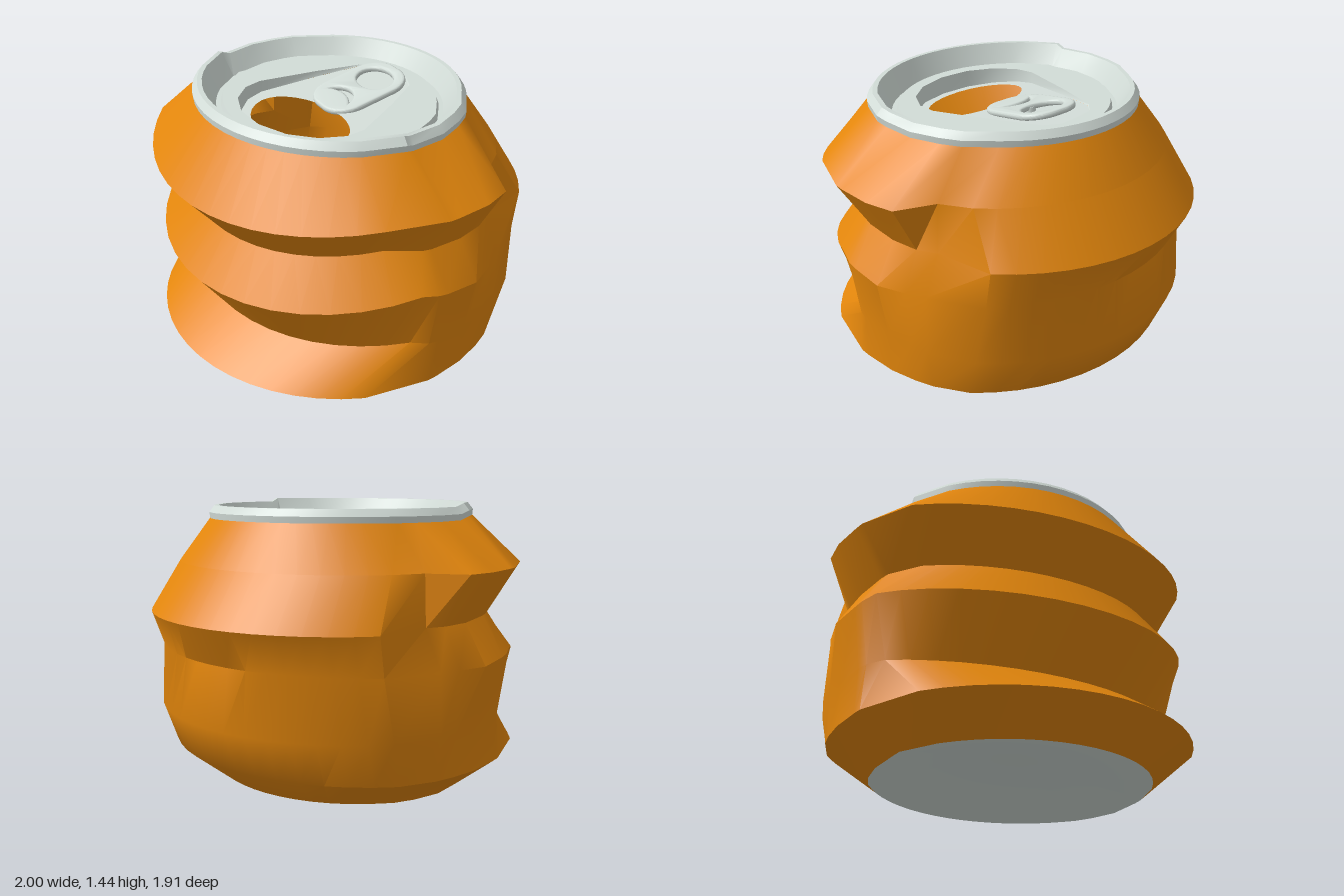
import * as THREE from 'three';
import { toCreasedNormals } from 'three/addons/utils/BufferGeometryUtils.js';

const paint = new THREE.MeshStandardMaterial({ color: 0xe3860c, side: THREE.DoubleSide });
paint.name = 'orange paint';
const metal = new THREE.MeshStandardMaterial({ color: 0xd2dcd7, side: THREE.DoubleSide });
metal.name = 'pale metal';

const V = (x, y, z) => new THREE.Vector3(x, y, z);
const ARC = 8;
const SIDE_Z = [0.23, 0.18, 0, -0.15, -0.25];

// Points of a circular arc from the centre line (0, z0) out to (x1, z1).
function arc(z0, y0, x1, y1, z1) {
  const h = Math.abs(z0 - z1), dir = Math.sign(z0 - z1);
  const R = (x1 * x1 + h * h) / (2 * h), end = Math.acos((R - h) / R);
  return Array.from({ length: ARC + 1 }, (_, i) => {
    const t = (end * i) / ARC, drop = R * (1 - Math.cos(t));
    return V(R * Math.sin(t), y0 + ((y1 - y0) * drop) / h, z0 - dir * drop);
  });
}

// One dented ring: front arc, side points, level back arc, mirrored across x.
function ring(front, sideX, [backZ, backY, cornerX, cornerZ], mix = [0.4, 0.6, 1, 1, 1]) {
  const half = [
    ...arc(...front),
    ...sideX.map((x, i) => V(x, THREE.MathUtils.lerp(front[3], backY, mix[i]), SIDE_Z[i])),
    ...arc(backZ, backY, cornerX, backY, cornerZ).reverse(),
  ];
  const mirrored = half.slice(1, -1).reverse().map((p) => V(-p.x, p.y, p.z));
  return [...half, ...mirrored];
}

// Skin between closed rings of equal length.
function loft(rings, crease = 0.55) {
  const n = rings[0].length, pos = [], index = [];
  rings.forEach((r) => r.forEach((p) => pos.push(p.x, p.y, p.z)));
  for (let i = 0; i < rings.length - 1; i++) {
    for (let j = 0; j < n; j++) {
      const k = (j + 1) % n, a = i * n, b = a + n;
      index.push(a + j, a + k, b + k, a + j, b + k, b + j);
    }
  }
  const g = new THREE.BufferGeometry();
  g.setAttribute('position', new THREE.Float32BufferAttribute(pos, 3));
  g.setIndex(index);
  return toCreasedNormals(g, crease);
}

// Plate with one hole; its height is a function of z.
function plate(outline, hole, heightAt) {
  const flat = (pts) => pts.map((p) => new THREE.Vector2(p.x, -p.z));
  const s = new THREE.Shape(flat(outline));
  s.holes.push(new THREE.Path(flat(hole)));
  const g = new THREE.ShapeGeometry(s).rotateX(-Math.PI / 2);
  const p = g.attributes.position;
  for (let i = 0; i < p.count; i++) p.setY(i, heightAt(p.getZ(i)));
  g.computeVertexNormals();
  return g;
}

// Rounded pull tab with a finger hole and a crescent slot.
function tabGeometry() {
  const w = 0.148, h = 0.225, r = 0.12, s = new THREE.Shape();
  s.absarc(w - r, h - r, r, 0, Math.PI / 2);
  s.absarc(r - w, h - r, r, Math.PI / 2, Math.PI);
  s.absarc(r - w, r - h, r, Math.PI, Math.PI * 1.5);
  s.absarc(w - r, r - h, r, Math.PI * 1.5, Math.PI * 2);
  s.closePath();
  const finger = new THREE.Path();
  finger.absellipse(0, 0.098, 0.128, 0.104, 0, Math.PI * 2, true);
  const slot = new THREE.Path();
  slot.moveTo(0.115, -0.155);
  slot.absarc(0, -0.155, 0.115, 0, Math.PI);
  slot.quadraticCurveTo(0, -0.06, 0.115, -0.155);
  s.holes.push(finger, slot);
  const g = new THREE.ExtrudeGeometry(s, {
    depth: 0.012, bevelEnabled: true, bevelSize: 0.015, bevelThickness: 0.01,
    bevelSegments: 3, curveSegments: 12,
  });
  return toCreasedNormals(g.rotateX(-Math.PI / 2), 0.8);
}

export function createModel() {
  const model = new THREE.Group();
  const add = (name, geometry, material) => {
    const mesh = new THREE.Mesh(geometry, material);
    mesh.name = name;
    model.add(mesh);
    return mesh;
  };

  // Body: base, lower fold, lower dent, middle fold, upper dent, upper fold
  const base = ring([0.75, 0.015, 0.62, 0.015, 0.42], [0.71, 0.715, 0.72, 0.685, 0.64],
    [-0.59, 0, 0.6, -0.3], [0, 0.3, 1, 1, 1]);
  const upperFold = ring([0.91, 1.067, 0.84, 1.14, 0.5], [0.975, 0.983, 1, 0.98, 0.8], [-0.78, 1.135, 0.73, -0.4]);
  add('crushedBody', loft([
    base,
    ring([0.955, 0.18, 0.79, 0.178, 0.55], [0.915, 0.92, 0.925, 0.905, 0.88], [-0.8, 0.167, 0.8, -0.42]),
    ring([0.71, 0.343, 0.84, 0.41, 0.3], [0.9, 0.915, 0.925, 0.92, 0.91], [-0.89, 0.385, 0.82, -0.48]),
    ring([0.9, 0.625, 0.91, 0.73, 0.31], [0.945, 0.955, 0.975, 0.935, 0.9], [-0.85, 0.69, 0.79, -0.52]),
    ring([0.735, 0.847, 0.71, 0.915, 0.37], [0.82, 0.835, 0.857, 0.85, 0.81], [-0.955, 0.885, 0.79, -0.55]),
    upperFold,
  ], 0.6), paint);

  // Smooth shoulder up to the rim, with a small step at the sides
  const top = ring([0.7, 1.372, 0.6, 1.372, 0.41], [0.7, 0.692, 0.71, 0.675, 0.635],
    [-0.635, 1.355, 0.53, -0.38], [0, 1, 1, 1, 1]);
  add('shoulder', loft([upperFold, top], 1.3), paint);

  // Domed base
  const baseAt = (s, y) => base.map((p) => V(p.x * s, y, 0.08 + (p.z - 0.08) * s));
  add('base', loft([baseAt(0, 0.16), baseAt(0.5, 0.11), base], 0.6), metal);

  // Rim, countersink and groove follow the shoulder outline
  const floorY = 1.345, grooveY = 1.315;
  const scaled = (s, dy) => top.map((p) => V(p.x * s, p.y + dy, 0.03 + (p.z - 0.03) * s));
  const level = (s, y) => scaled(s, 0).map((p) => V(p.x, y, p.z));
  const lidEdge = level(0.77, floorY);
  add('rim', loft([
    scaled(1, -0.005), scaled(1.005, 0.03), scaled(0.965, 0.065), scaled(0.93, 0.065),
    level(0.84, grooveY), level(0.805, grooveY), level(0.79, floorY), lidEdge,
  ]), metal);

  // Lid panel recess: narrow and shallow at the back, wide and deep at the front
  const half = [[0, 0.5], [0.17, 0.47], [0.3, 0.39], [0.375, 0.28], [0.385, 0.18],
    [0.28, -0.12], [0.185, -0.35], [0.11, -0.41], [0, -0.415]];
  const outline = [...half, ...half.slice(1, -1).reverse().map(([x, z]) => [-x, z])];
  const recessY = (z) => floorY - 0.1 * (z + 0.415);
  const recessTop = outline.map(([x, z]) => V(x, floorY, z));
  const recessLow = outline.map(([x, z]) => V(x * 0.985, recessY(z), z * 0.985));
  add('lid', plate(lidEdge, recessTop, () => floorY), metal);
  add('recessWall', loft([recessTop, recessLow]), metal);

  // Drinking opening
  const opening = Array.from({ length: 28 }, (_, i) => {
    const t = (i / 28) * Math.PI * 2, s = Math.sin(t);
    return V(0.305 * Math.cos(t), 0, 0.235 + (s > 0 ? 0.205 : 0.165) * s);
  });
  add('recessFloor', plate(recessLow, opening, recessY), metal);

  // Pull tab, tilted down to the front, and its rivet
  const tab = add('pullTab', tabGeometry(), metal);
  tab.position.set(0.025, 1.335, -0.145);
  tab.rotation.set(0.2, -0.2, 0);
  const rivet = add('rivet', new THREE.CylinderGeometry(0.03, 0.04, 0.04, 16), metal);
  rivet.position.set(0.02, 1.322, -0.13);

  return model;
}
